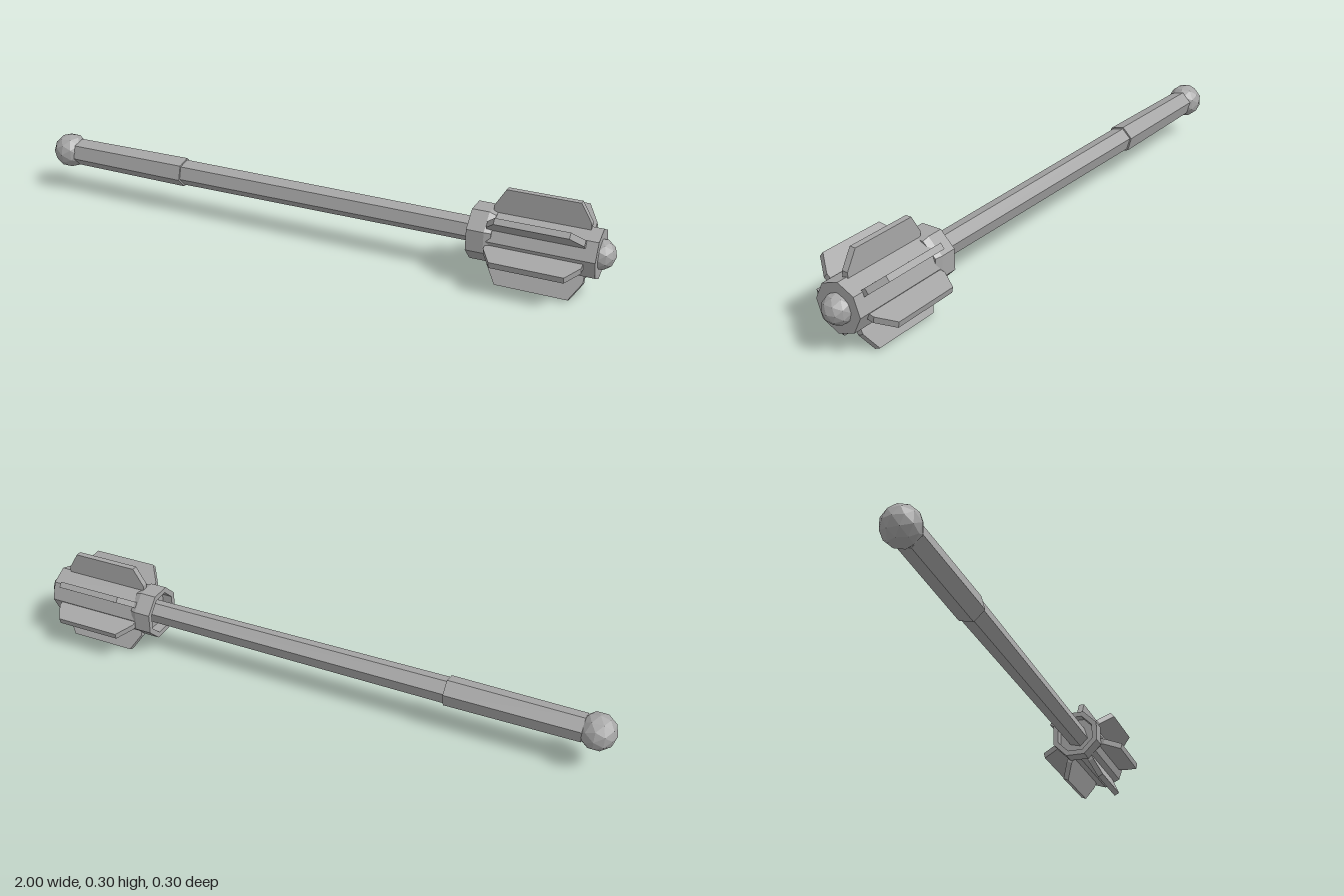
import * as THREE from 'three';

export function createModel() {
  const steel = new THREE.MeshStandardMaterial({ color: 0xa6a6a6, flatShading: true });
  steel.name = 'steel grey';

  const model = new THREE.Group();
  model.name = 'flangedMace';

  // Everything is built around the long axis, then raised
  const mace = new THREE.Group();
  mace.name = 'mace';
  mace.position.y = 0.144;
  model.add(mace);

  const add = (name, geometry) => {
    const mesh = new THREE.Mesh(geometry, steel);
    mesh.name = name;
    mace.add(mesh);
    return mesh;
  };

  // Faceted solid turned about the x axis; profile is [radius, x] pairs
  const turned = (name, profile, sides, phase) => {
    const points = profile.map(([r, x]) => new THREE.Vector2(r, x));
    const geometry = new THREE.LatheGeometry(points, sides, phase, Math.PI * 2);
    geometry.rotateZ(-Math.PI / 2);
    return add(name, geometry);
  };

  const ball = (name, radius, x) => {
    add(name, new THREE.IcosahedronGeometry(radius, 1)).position.x = x;
  };

  // Handle
  ball('pommel', 0.06, -0.94);
  turned('grip', [[0, -0.9], [0.046, -0.9], [0.049, -0.465], [0, -0.465]], 6, 0.26);
  turned('shaft', [[0, -0.48], [0.043, -0.48], [0.039, 0.62], [0, 0.62]], 6, 0.26);

  // Head: recessed collar, core and end knob
  turned('collar', [[0, 0.6], [0.07, 0.6], [0.07, 0.565], [0.089, 0.565],
    [0.089, 0.62], [0.08, 0.64], [0, 0.64]], 8, Math.PI / 8);
  turned('headCore', [[0, 0.61], [0.08, 0.61], [0.08, 0.955], [0, 0.955]], 8, -0.06);
  ball('endKnob', 0.048, 0.952);

  // Seven radial flanges
  const outline = new THREE.Shape([[0.625, 0.05], [0.92, 0.05], [0.92, 0.095],
    [0.885, 0.153], [0.66, 0.153], [0.625, 0.095]].map(([x, y]) => new THREE.Vector2(x, y)));
  const flange = new THREE.ExtrudeGeometry(outline, { depth: 0.02, bevelEnabled: false });
  flange.translate(0, 0, -0.01);
  for (let i = 0; i < 7; i++) {
    add('flange' + (i + 1), flange).rotation.x = (i * Math.PI * 2) / 7;
  }

  return model;
}
